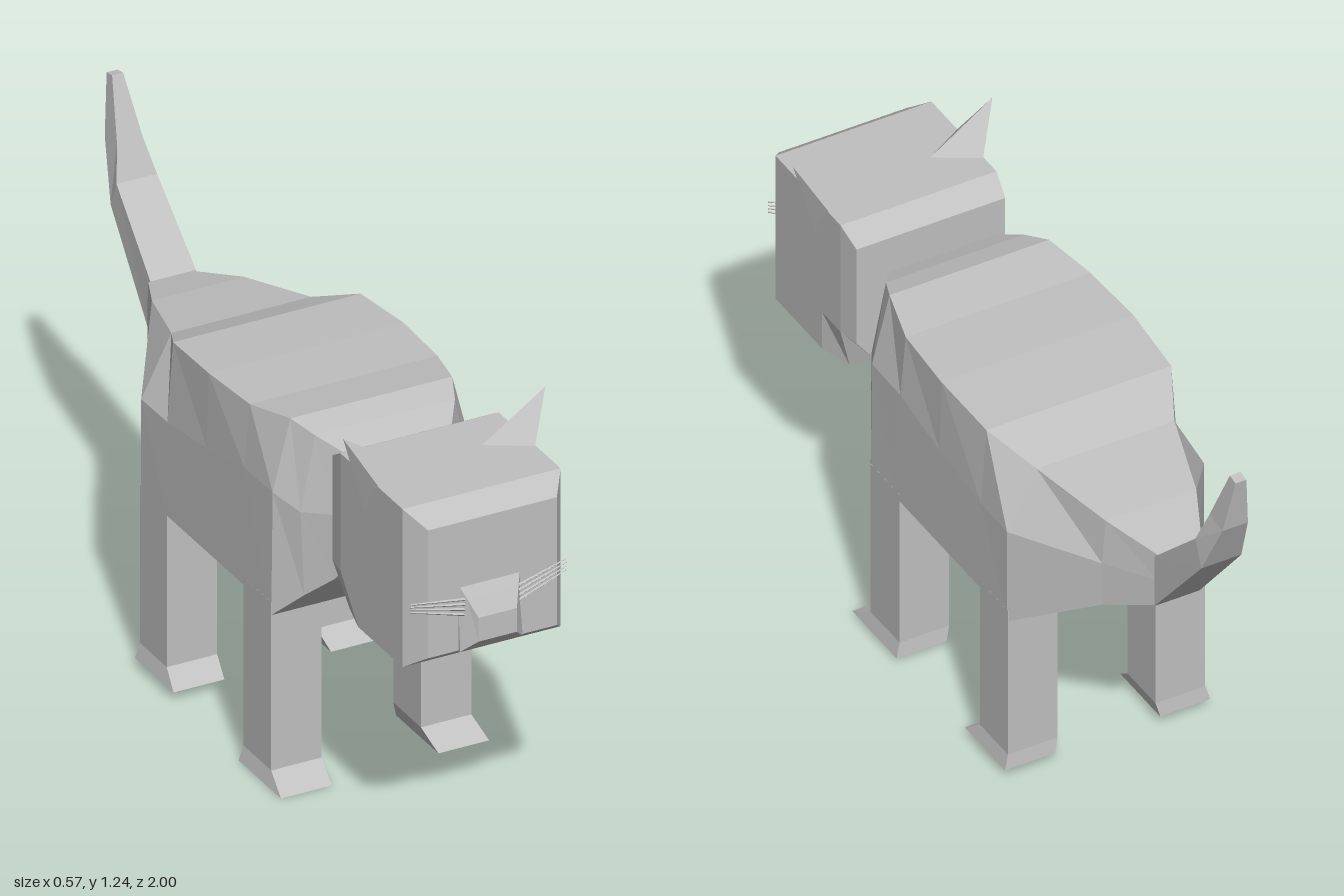
import * as THREE from 'three';

const grey = new THREE.MeshStandardMaterial({ color: 0xc0c0c0, flatShading: true });
grey.name = 'light grey';

// Skin closed rings of points, listed clockwise as seen from the first end.
function loft(rings) {
  const n = rings[0].length, last = rings.length - 1, pos = [];
  const tri = (a, b, c) => pos.push(...a, ...b, ...c);
  for (let i = 0; i < last; i++) {
    for (let j = 0; j < n; j++) {
      const k = (j + 1) % n;
      tri(rings[i][j], rings[i][k], rings[i + 1][k]);
      tri(rings[i][j], rings[i + 1][k], rings[i + 1][j]);
    }
  }
  for (let j = 1; j < n - 1; j++) {
    tri(rings[0][0], rings[0][j + 1], rings[0][j]);
    tri(rings[last][0], rings[last][j], rings[last][j + 1]);
  }
  const g = new THREE.BufferGeometry();
  g.setAttribute('position', new THREE.Float32BufferAttribute(pos, 3));
  g.computeVertexNormals();
  return g;
}

// Mirror a half ring (top to bottom on the +x side) about x = 0.
const mirrored = (half) => [...half, ...half.slice().reverse().map(([x, y, z]) => [-x, y, z])];

export function createModel() {
  const cat = new THREE.Group();
  cat.name = 'cat';
  const add = (name, geometry, parent = cat) => {
    const mesh = new THREE.Mesh(geometry, grey);
    mesh.name = name;
    parent.add(mesh);
    return mesh;
  };

  // Trunk: z, then half width and height at back line, flank and belly
  const trunk = [
    [0.53, 0.10, 0.92, 0.12, 0.80, 0.12, 0.70],
    [0.46, 0.15, 0.945, 0.18, 0.78, 0.17, 0.60],
    [0.40, 0.19, 0.97, 0.23, 0.77, 0.22, 0.54],
    [0.33, 0.22, 0.99, 0.268, 0.80, 0.272, 0.465],
    [0.19, 0.255, 0.97, 0.27, 0.80, 0.272, 0.48],
    [0.00, 0.265, 0.965, 0.27, 0.76, 0.272, 0.48],
    [-0.20, 0.255, 0.95, 0.27, 0.735, 0.272, 0.48],
    [-0.33, 0.19, 0.895, 0.272, 0.735, 0.272, 0.465],
    [-0.55, 0.125, 0.86, 0.135, 0.735, 0.135, 0.61],
    [-0.69, 0.06, 0.825, 0.062, 0.75, 0.062, 0.675],
  ];
  add('body', loft(trunk.map(([z, a, ya, b, yb, c, yc]) =>
    mirrored([[a, ya, z], [b, yb, z], [c, yc, z]]))));

  // Tail: half width, then the upper and lower edge as y, z
  const tail = [
    [0.062, 0.825, -0.69, 0.675, -0.69],
    [0.055, 1.0, -0.875, 0.93, -0.905],
    [0.035, 1.09, -0.91, 1.08, -0.972],
    [0.015, 1.24, -0.972, 1.235, -1.0],
  ];
  add('tail', loft(tail.map(([w, y1, z1, y2, z2]) =>
    mirrored([[w, y1, z1], [w, y2, z2]])))).position.x = 0.008;

  // Legs with wedge-shaped paws
  const rect = (y, x0, x1, z0, z1) => [[x0, y, z0], [x1, y, z0], [x1, y, z1], [x0, y, z1]];
  const leg = (name, side, y, z0, z1, toe) => {
    const xs = (a, b) => (side > 0 ? [a, b] : [-b, -a]);
    add(name, loft([
      rect(0.5, ...xs(0.135, 0.272), z0, z1),
      rect(y + 0.04, ...xs(0.135, 0.272), z0, z1),
      rect(y, ...xs(0.145, 0.283), z0 - 0.005, toe),
    ]));
  };
  leg('frontLeftLeg', 1, 0.012, 0.19, 0.33, 0.40);
  leg('frontRightLeg', -1, 0, 0.19, 0.33, 0.40);
  leg('backLeftLeg', 1, 0.025, -0.335, -0.2, -0.145);
  leg('backRightLeg', -1, 0.025, -0.335, -0.2, -0.145);

  // Head: a box bevelled at the front and back
  const head = new THREE.Group();
  head.name = 'head';
  head.position.x = -0.008;
  cat.add(head);
  const skull = [
    [0.96, 0.175, 0.98, 0.175, 0.63],
    [0.905, 0.215, 1.022, 0.215, 0.59],
    [0.68, 0.215, 1.022, 0.215, 0.59],
    [0.59, 0.215, 1.022, 0.19, 0.59],
    [0.53, 0.205, 0.985, 0.15, 0.63],
  ];
  add('skull', loft(skull.map(([z, a, ya, b, yb]) => mirrored([
    [a, ya, z], [a, ya - 0.06, z], [a, 0.70, z], [b, yb, z],
  ]))), head);

  // Muzzle with a sloping nose bridge
  add('muzzle', loft([
    mirrored([[0.052, 0.73, 1.0], [0.052, 0.665, 1.0]]),
    mirrored([[0.07, 0.775, 0.975], [0.085, 0.63, 0.968]]),
    mirrored([[0.085, 0.81, 0.955], [0.085, 0.63, 0.955]]),
  ]), head).position.x = -0.007;

  // Ears: pointed pyramids leaning outwards from the upper corners
  for (const side of [1, -1]) {
    const tip = [side * 0.275, 1.138, 0.715];
    const base = [[0.1, 1.02, 0.715], [0.212, 1.02, 0.65], [0.212, 0.91, 0.715], [0.212, 1.02, 0.78]]
      .map(([x, y, z]) => [side * x, y, z]);
    if (side < 0) base.reverse();
    add(side > 0 ? 'leftEar' : 'rightEar', loft([base.map(() => tip), base]), head);
  }

  // Whiskers: four thin spikes on each cheek
  for (const side of [1, -1]) {
    for (let i = 0; i < 4; i++) {
      const from = new THREE.Vector3(side > 0 ? 0.06 : -0.08, 0.73 + i * 0.014, 0.97);
      const to = side > 0
        ? new THREE.Vector3(0.19, 0.79 + i * 0.01, 0.983)
        : new THREE.Vector3(-0.227, 0.772 + i * 0.007, 0.967);
      const dir = to.clone().sub(from);
      const w = add('whisker', new THREE.CylinderGeometry(0.002, 0.004, dir.length(), 4), head);
      w.position.copy(from).addScaledVector(dir, 0.5);
      w.quaternion.setFromUnitVectors(new THREE.Vector3(0, 1, 0), dir.normalize());
    }
  }
  return cat;
}
